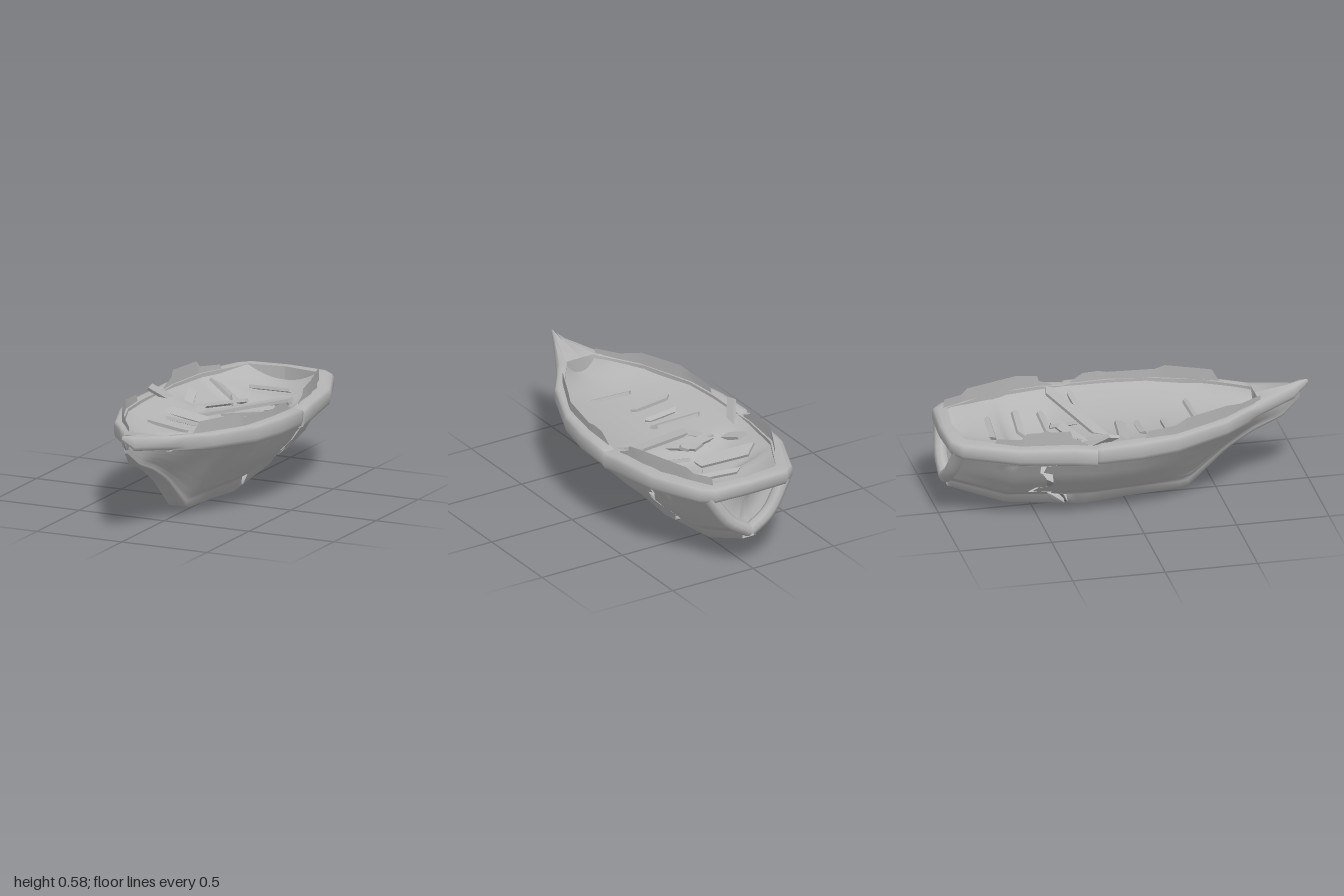
import * as THREE from 'three';
import { toCreasedNormals } from 'three/addons/utils/BufferGeometryUtils.js';

const grey = new THREE.MeshStandardMaterial({ color: 0xb4b4b4, side: THREE.DoubleSide });
grey.name = 'weathered grey';
const { clamp, lerp, smoothstep } = THREE.MathUtils;

// Interpolates rows of numbers on their first column (ascending)
function sample(rows, t) {
  let i = 0;
  while (i < rows.length - 2 && t > rows[i + 1][0]) i++;
  const a = rows[i], b = rows[i + 1];
  const k = clamp((t - a[0]) / (b[0] - a[0]), 0, 1);
  return a.map((v, n) => v + (b[n] - v) * k);
}

// Surface through a grid of points f(i, j)
function grid(rows, cols, f) {
  const pos = [], idx = [];
  for (let i = 0; i < rows; i++) for (let j = 0; j < cols; j++) pos.push(...f(i, j));
  for (let i = 0; i < rows - 1; i++) for (let j = 0; j < cols - 1; j++) {
    const a = i * cols + j, b = a + cols;
    idx.push(a, b, a + 1, a + 1, b, b + 1);
  }
  const g = new THREE.BufferGeometry();
  g.setAttribute('position', new THREE.Float32BufferAttribute(pos, 3));
  g.setIndex(idx);
  g.computeVertexNormals();
  return g;
}

// Hull stations: z, keel y, keel half width, then x,y of bilge, side and top
const stations = [
  [-0.96, 0.17, 0.04, 0.12, 0.25, 0.18, 0.34, 0.25, 0.44],
  [-0.65, 0.05, 0.05, 0.16, 0.15, 0.26, 0.26, 0.355, 0.42],
  [-0.22, 0, 0.052, 0.17, 0.13, 0.295, 0.245, 0.395, 0.41],
  [0, 0.02, 0.052, 0.16, 0.13, 0.285, 0.25, 0.39, 0.41],
  [0.33, 0.035, 0.05, 0.09, 0.13, 0.2, 0.27, 0.33, 0.425],
  [0.55, 0.235, 0.045, 0.065, 0.28, 0.135, 0.35, 0.225, 0.445],
  [0.7, 0.325, 0.04, 0.048, 0.36, 0.08, 0.4, 0.12, 0.465],
  [0.85, 0.385, 0.032, 0.036, 0.41, 0.042, 0.44, 0.05, 0.49],
  [0.95, 0.47, 0.008, 0.01, 0.48, 0.015, 0.5, 0.018, 0.52],
];
// Point on the hull: a runs from 0 at the keel to 5 at the top, signed by side
function hullPoint(a, z) {
  const [, k, w, x1, y1, x2, y2, x3, y3] = sample(stations, z);
  const section = [[0, 0, k], [1, w, k], [2, w, k + (y1 - k) * 0.4], [3, x1, y1], [4, x2, y2], [5, x3, y3]];
  const [, x, y] = sample(section, Math.abs(a));
  return [x * Math.sign(a), y, z];
}

// Jagged crack: section position, edge of the front half, edge of the rear half
const crack = [
  [0, -0.31, -0.32], [1, -0.31, -0.33], [2, -0.32, -0.4], [2.4, -0.41, -0.43], [2.7, -0.42, -0.44],
  [2.9, -0.42, -0.46], [3, -0.5, -0.55], [3.1, -0.53, -0.55], [3.4, -0.5, -0.52], [3.45, -0.44, -0.46],
  [3.7, -0.43, -0.47], [4, -0.44, -0.47], [4.3, -0.45, -0.5], [4.4, -0.5, -0.52],
  [4.7, -0.49, -0.52], [4.75, -0.36, -0.38], [4.9, -0.3, -0.31], [5, -0.23, -0.26],
];
const columns = [...crack.slice(1).reverse().map(r => [-r[0], r[1], r[2]]), ...crack];

// Gunwale rows: outer x,z, inner x,z, top y, bottom y
const frontRail = [
  [0, 1, 0, 0.95, 0.573, 0.55], [0.035, 0.92, 0, 0.88, 0.55, 0.475], [0.15, 0.71, 0, 0.71, 0.525, 0.445],
  [0.2, 0.63, 0.085, 0.71, 0.52, 0.435], [0.295, 0.5, 0.25, 0.48, 0.51, 0.42], [0.41, 0.21, 0.36, 0.2, 0.5, 0.4],
  [0.45, 0, 0.38, 0, 0.5, 0.395], [0.458, -0.22, 0.385, -0.2, 0.495, 0.395], [0.445, -0.25, 0.39, -0.26, 0.48, 0.4],
];
const rearRail = [
  [0.46, -0.24, 0.385, -0.24, 0.485, 0.385], [0.45, -0.36, 0.375, -0.36, 0.5, 0.395],
  [0.41, -0.65, 0.34, -0.63, 0.503, 0.41], [0.29, -0.93, 0.21, -0.89, 0.508, 0.42],
  [0.22, -0.985, 0.2, -0.905, 0.51, 0.425], [0, -1, 0, -0.93, 0.512, 0.43],
];
const railSection = [[0, 1], [0.6, 1], [0.88, 0.95], [1, 0.78], [1, 0.3], [0.88, 0.08], [0.6, 0], [0, 0], [0, 1]];
function rail(rows, side) {
  const n = rows.length;
  const g = grid(n + 2, railSection.length, (i, j) => {
    const [xo, zo, xi, zi, yt, yb] = rows[clamp(i - 1, 0, n - 1)];
    const [t, v] = i === 0 || i === n + 1 ? [0.5, 0.5] : railSection[j]; // closed ends
    return [side * (xi + (xo - xi) * t), yb + (yt - yb) * v, zi + (zo - zi) * t];
  });
  return toCreasedNormals(g, 1);
}

// Inner edge of the gunwale as z, x
const innerEdge = [[-0.93, 0.19], [-0.89, 0.21], [-0.63, 0.34], [-0.24, 0.385], [0, 0.38],
  [0.2, 0.36], [0.48, 0.25], [0.71, 0.085]];
// Dished deck height: t is 0 on the centre line and 1 at the gunwale
function deckY(t, z) {
  const ends = 0.025 * (smoothstep(z, 0.35, 0.71) + smoothstep(-z, 0.7, 0.92));
  const collapse = 0.06 * smoothstep(-z, 0.22, 0.4) * (1 - smoothstep(-z, 0.6, 0.65));
  return 0.485 + ends - (0.07 + collapse) * (1 - t * t);
}

// Broken bulwark sheets: side, then z and top y pairs
const bulwarks = [
  [-1, [0.72, 0.55, 0.6, 0.55, 0.5, 0.577, 0.27, 0.575, 0.2, 0.55, 0.05, 0.54, 0.03, 0.5]],
  [1, [0.57, 0.505, 0.53, 0.575, 0.3, 0.575, 0.25, 0.55, 0, 0.54, -0.05, 0.55, -0.13, 0.545, -0.2, 0.5]],
  [-1, [-0.28, 0.5, -0.36, 0.54, -0.37, 0.577, -0.6, 0.575, -0.63, 0.54, -0.75, 0.53, -0.76, 0.5]],
  [1, [-0.3, 0.5, -0.37, 0.53, -0.38, 0.56, -0.5, 0.577, -0.78, 0.575, -0.82, 0.55, -0.92, 0.555, -0.93, 0.5]],
];

// Loose planks: start x,y,z, end x,y,z, width
const planks = [
  [-0.26, 0.47, -0.61, 0.01, 0.38, -0.44, 0.07], [-0.3, 0.46, -0.44, -0.25, 0.4, -0.27, 0.05],
  [-0.42, 0.54, -0.13, -0.3, 0.4, -0.31, 0.05], [-0.22, 0.41, -0.25, 0.06, 0.45, -0.38, 0.05],
  [-0.15, 0.4, -0.13, 0.34, 0.5, -0.35, 0.06], [-0.28, 0.44, -0.06, 0.02, 0.41, -0.02, 0.06],
  [-0.05, 0.45, -0.42, 0.08, 0.4, -0.2, 0.04], [0, 0.41, -0.19, 0.36, 0.46, -0.22, 0.03],
  [0.02, 0.38, -0.55, 0.24, 0.43, -0.54, 0.04], [-0.1, 0.43, -0.72, 0.16, 0.44, -0.7, 0.03],
  [-0.18, 0.42, -0.3, -0.1, 0.4, -0.13, 0.05], [0, 0.38, -0.4, 0.22, 0.42, -0.41, 0.04],
  [-0.2, 0.43, 0.07, 0, 0.41, 0.07, 0.03], [-0.24, 0.44, 0.2, 0, 0.41, 0.21, 0.03],
  [-0.12, 0.42, 0.38, 0.16, 0.44, 0.36, 0.03],
];
function plankGeometry(length, w) {
  const h = w / 2, l = length / 2;
  const outline = [[-l, -h], [l * 0.9, -h], [l, -h * 0.2], [l * 0.8, h], [-l * 0.75, h], [-l * 0.85, h * 0.2]];
  const shape = new THREE.Shape(outline.map(p => new THREE.Vector2(...p)));
  const g = new THREE.ExtrudeGeometry(shape, { depth: 0.018, bevelEnabled: false });
  return g.rotateX(-Math.PI / 2);
}

export function createModel() {
  const model = new THREE.Group();
  model.name = 'wreckedBoat';
  const add = (name, geometry) => {
    const mesh = new THREE.Mesh(geometry, grey);
    mesh.name = name;
    model.add(mesh);
    return mesh;
  };

  // Two hull halves either side of the crack
  const rows = 28;
  for (const [name, end, edge] of [['frontHull', 0.95, 1], ['rearHull', -0.96, 2]]) {
    add(name, grid(rows, columns.length, (i, j) => {
      const c = columns[j];
      return hullPoint(c[0], lerp(end, c[edge], i / (rows - 1)));
    }));
  }

  // Dished deck, sunken behind the break
  add('deck', grid(45, 17, (i, j) => {
    const z = lerp(0.71, -0.93, i / 44), t = j / 8 - 1;
    return [t * (sample(innerEdge, z)[1] + 0.006), deckY(t, z), z];
  }));

  // Recessed transom
  add('transom', grid(4, 11, (i, j) => {
    const [x, y] = hullPoint(j - 5, -0.95), k = i / 3;
    return [x * (1 - k), y + (0.44 - y) * k, -0.95 + 0.05 * Math.sin(k * Math.PI)];
  }));

  for (const side of [-1, 1]) {
    // Gunwale in two broken lengths
    add('frontGunwale', rail(frontRail, side));
    add('rearGunwale', rail(rearRail, side));
    // Rounded stern post along the transom edge
    const post = new THREE.CatmullRomCurve3([[0, 0.21, -0.962], [0.12, 0.29, -0.96], [0.235, 0.45, -0.935]]
      .map(([x, y, z]) => new THREE.Vector3(side * x, y, z)));
    add('sternPost', new THREE.TubeGeometry(post, 8, 0.037, 8));
  }

  // Broken bulwark sheets
  for (const [side, profile] of bulwarks) {
    add('brokenBulwark', grid(profile.length / 2, 2, (i, j) => {
      const z = profile[i * 2];
      return [side * (sample(innerEdge, z)[1] + 0.012), j ? profile[i * 2 + 1] : 0.47, z];
    }));
  }

  // Pile of loose planks
  planks.forEach(([x0, y0, z0, x1, y1, z1, w], i) => {
    const a = new THREE.Vector3(x0, y0, z0), b = new THREE.Vector3(x1, y1, z1);
    const mesh = add('loosePlank', plankGeometry(a.distanceTo(b), w));
    mesh.position.copy(a).lerp(b, 0.5);
    mesh.quaternion.setFromUnitVectors(new THREE.Vector3(1, 0, 0), b.clone().sub(a).normalize());
    mesh.rotateX((i % 3 - 1) * 0.4);
  });
  return model;
}
